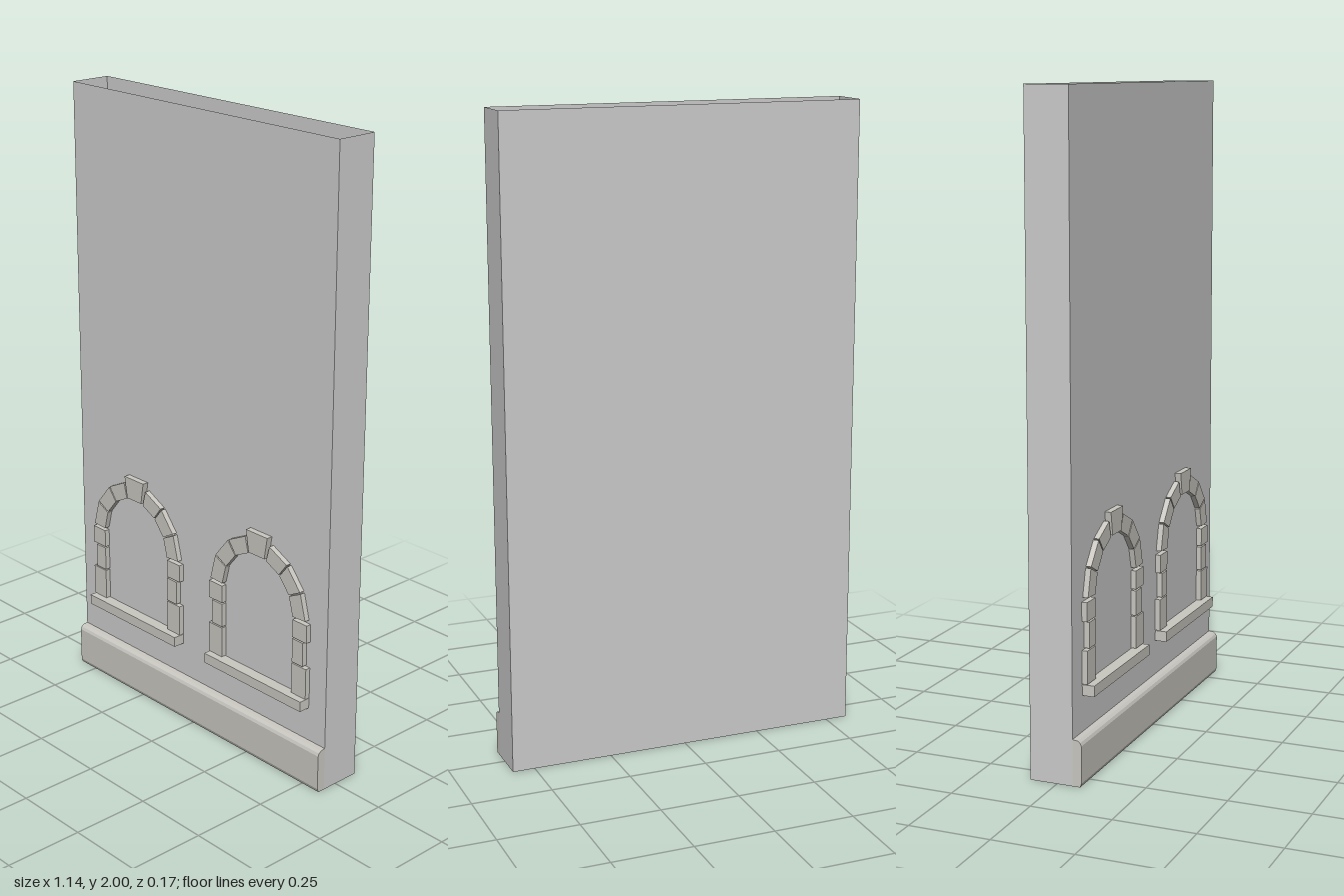
import * as THREE from 'three';

const W = 1.14, H = 2, FRONT = 0.05, BACK = -0.085;
const grey = new THREE.MeshStandardMaterial({ color: 0xcccccc, side: THREE.DoubleSide });
const stone = new THREE.MeshStandardMaterial({ color: 0xc9c7c0, side: THREE.DoubleSide });

function mesh(name, geometry, material, x = 0, y = 0, z = 0) {
  const m = new THREE.Mesh(geometry, material);
  m.name = name;
  m.position.set(x, y, z);
  return m;
}

// Box given by its limits
function block(name, x0, x1, y0, y1, z0, z1) {
  return mesh(name, new THREE.BoxGeometry(x1 - x0, y1 - y0, z1 - z0), stone,
    (x0 + x1) / 2, (y0 + y1) / 2, (z0 + z1) / 2);
}

function extrude(points, depth) {
  const shape = new THREE.Shape(points.map(p => new THREE.Vector2(p[0], p[1])));
  return new THREE.ExtrudeGeometry(shape, { depth, bevelEnabled: false });
}

// Hollow wall: four panels, open at top and bottom
function createWall() {
  const wall = new THREE.Group();
  wall.name = 'wall';
  const depth = FRONT - BACK, mid = (FRONT + BACK) / 2;
  const panels = [
    ['frontPanel', W, 0, FRONT, 0], ['backPanel', W, 0, BACK, Math.PI],
    ['leftPanel', depth, W / 2, mid, Math.PI / 2], ['rightPanel', depth, -W / 2, mid, -Math.PI / 2],
  ];
  for (const [name, width, x, z, turn] of panels) {
    const panel = mesh(name, new THREE.PlaneGeometry(width, H), grey, x, H / 2, z);
    panel.rotation.y = turn;
    wall.add(panel);
  }
  return wall;
}

// Skirting with a rounded top edge, profile drawn in (z, y)
function createSkirting() {
  const profile = [[0.05, 0], [0.073, 0], [0.078, 0.012], [0.078, 0.125],
    [0.074, 0.134], [0.066, 0.14], [0.05, 0.142]];
  const geometry = extrude(profile, W);
  geometry.rotateY(-Math.PI / 2);
  geometry.translate(W / 2, 0, 0);
  return mesh('skirting', geometry, stone);
}

// Arched window: stone surround, sill and the recess box behind the wall face
function createWindow(name, x) {
  const win = new THREE.Group();
  win.name = name;
  win.position.x = x;
  const spring = 0.535, inner = 0.155, face = 0.067;

  // jamb stones, alternately wide and narrow
  const jambs = [[0.287, 0.388, 0.215], [0.392, 0.47, 0.2], [0.475, 0.533, 0.215]];
  for (const side of [-1, 1]) {
    for (const [y0, y1, outer] of jambs) {
      win.add(block('jambStone', Math.min(side * inner, side * outer),
        Math.max(side * inner, side * outer), y0, y1, FRONT, face));
    }
    // arch stones from the springing up to the keystone
    const cuts = [2, 27, 52, 76], outers = [0.208, 0.208, 0.208];
    outers.forEach((outer, i) => {
      const a = THREE.MathUtils.degToRad(cuts[i] + 0.7);
      const b = THREE.MathUtils.degToRad(cuts[i + 1] - 0.7);
      const at = (r, t) => [side * r * Math.cos(t), spring + r * Math.sin(t)];
      const points = [at(inner, a), at(outer, a), at(outer, b), at(inner, b)];
      win.add(mesh('archStone', extrude(points, face - FRONT), stone, 0, 0, FRONT));
    });
  }
  const key = [[-0.034, 0.69], [0.034, 0.69], [0.046, 0.762], [-0.046, 0.762]];
  win.add(mesh('keystone', extrude(key, 0.02), stone, 0, 0, FRONT));
  win.add(block('sill', -0.214, 0.214, 0.252, 0.285, FRONT, 0.088));

  // arched recess inside the hollow wall
  const arch = new THREE.Shape();
  arch.moveTo(-inner, 0.27);
  arch.lineTo(inner, 0.27);
  arch.lineTo(inner, spring);
  arch.absarc(0, spring, inner, 0, Math.PI, false);
  arch.closePath();
  const recess = new THREE.ExtrudeGeometry(arch, { depth: 0.103, bevelEnabled: false, curveSegments: 20 });
  win.add(mesh('recess', recess, stone, 0, 0, -0.055));
  return win;
}

export function createModel() {
  const model = new THREE.Group();
  model.name = 'wallSection';
  model.add(createWall(), createSkirting(),
    createWindow('leftWindow', 0.285), createWindow('rightWindow', -0.285));
  return model;
}
